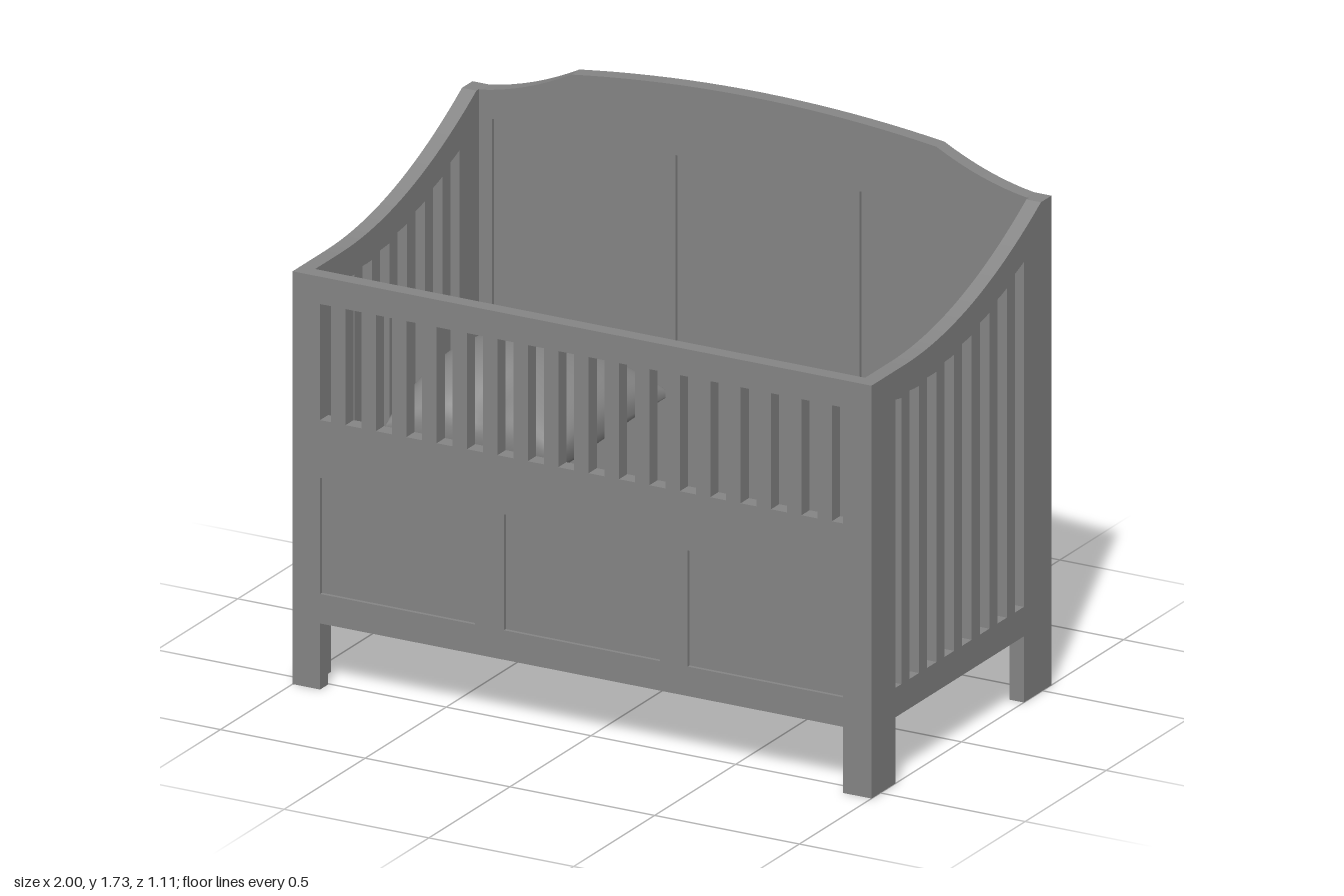
import * as THREE from 'three';
import { mergeVertices } from 'three/addons/utils/BufferGeometryUtils.js';

const material = new THREE.MeshStandardMaterial({ color: 0x868686 });
const T = 0.05;            // board thickness
const HX = 1, HZ = 0.555;  // half length and half depth of the cot
const RAIL = 0.213;        // underside of the bottom rails
const PANELS = [[-0.905, -0.37], [-0.27, 0.27], [0.365, 0.902]];

function add(parent, name, geometry, x = 0, y = 0, z = 0) {
  const mesh = new THREE.Mesh(geometry, material);
  mesh.name = name;
  mesh.position.set(x, y, z);
  parent.add(mesh);
  return mesh;
}

const toShape = (pts) => new THREE.Shape(pts.map(([x, y]) => new THREE.Vector2(x, y)));
const toHole = (pts) => new THREE.Path(pts.map(([x, y]) => new THREE.Vector2(x, y)));
const rect = (x0, x1, y0, y1) => [[x0, y0], [x0, y1], [x1, y1], [x1, y0]];
const board = (shape) => new THREE.ExtrudeGeometry(shape, { depth: T, bevelEnabled: false });

// Lower outline shared by the long boards: two feet and a raised rail
const feet = [[-HX, 0], [-0.905, 0], [-0.905, RAIL], [0.902, RAIL], [0.902, 0], [HX, 0]];

// Gaps left between evenly spaced slats
function gaps(start, end, first, pitch, count, width) {
  const list = [];
  let from = start;
  for (let i = 0; i < count; i++) {
    const c = first + i * pitch;
    list.push([from, c - width / 2]);
    from = c + width / 2;
  }
  list.push([from, end]);
  return list;
}

// Long board with three recessed panels
function panelBoard(name, topEdge, panelTop, slots, z) {
  const group = new THREE.Group();
  group.name = name;
  const shape = toShape([...feet, ...topEdge]);
  for (const [a, b] of PANELS) {
    shape.holes.push(toHole(rect(a, b, 0.308, panelTop)));
    add(group, 'recessedPanel', new THREE.BoxGeometry(b - a, panelTop - 0.308, T - 0.024),
      (a + b) / 2, (panelTop + 0.308) / 2, z + T / 2);
  }
  for (const [a, b] of slots) shape.holes.push(toHole(rect(a, b, 0.868, 1.242)));
  add(group, name + 'Frame', board(shape), 0, 0, z);
  return group;
}

// Crest of the back: flat ears, concave shoulders, shallow arch
function crest() {
  const half = [[HX, 1.577], [0.94, 1.577]];
  for (let i = 1; i <= 8; i++) {
    const t = i / 8;
    half.push([0.94 - 0.31 * t, 1.577 + 0.106 * (0.45 * t + 0.55 * t * t)]);
  }
  for (let i = 1; i < 10; i++) {
    const x = 0.63 * (1 - i / 10);
    half.push([x, 1.725 - 0.042 * (x / 0.63) ** 2]);
  }
  return [...half, [0, 1.725], ...half.slice().reverse().map(([x, y]) => [-x, y])];
}

// Side board drawn in (z, y), with a swept top rail and slats
function sideGeometry() {
  const sweep = (z) => 1.33 + 0.35 * Math.max(0, Math.min(0.84, 0.35 - z)) ** 2;
  const e = HZ - T;
  const pts = [[-e, 0], [-0.385, 0], [-0.385, RAIL], [0.408, RAIL], [0.408, 0], [e, 0], [e, 1.33]];
  for (let i = 0; i <= 20; i++) {
    const z = 0.35 - 0.84 * i / 20;
    pts.push([z, sweep(z)]);
  }
  pts.push([-e, 1.577]);
  const shape = toShape(pts);
  for (const [a, b] of gaps(-0.385, 0.408, -0.305, 0.1085, 7, T)) {
    const m = (a + b) / 2;
    shape.holes.push(toHole([[a, 0.308], [a, sweep(a) - 0.1], [m, sweep(m) - 0.097],
      [b, sweep(b) - 0.093], [b, 0.308]]));
  }
  const g = board(shape);
  g.rotateY(-Math.PI / 2); // shape x becomes z, depth becomes -x
  return g;
}

// Soft cushion: two square grids puffed up and down from a shared seam
function pillowGeometry() {
  const N = 28, pos = [], idx = [];
  for (const side of [1, -1]) {
    const base = pos.length / 3;
    for (let j = 0; j <= N; j++) for (let i = 0; i <= N; i++) {
      const u = Math.sin((i / N - 0.5) * Math.PI), v = Math.sin((j / N - 0.5) * Math.PI);
      const bulge = Math.max(0, (1 - u * u) * (1 - v * v));
      const dent = 0.08 * Math.exp(-((u / 0.25) ** 2) - ((v - 0.85) / 0.35) ** 2);
      const halfWidth = 0.32 - 0.026 * v;
      const x = -0.525 + 0.012 * v + halfWidth * u * (1 - 0.03 * (1 - v * v));
      const z = 0.33 * v * (1 - (v > 0 ? 0.1 : -0.02) * (1 - u * u));
      const up = (0.19 * (1 - 0.12 * u) - dent) * bulge ** 0.4;
      const down = (0.065 + 0.15 * z) * bulge ** 0.25;
      pos.push(x, 0.79 + (side > 0 ? up : -down), z);
    }
    for (let j = 0; j < N; j++) for (let i = 0; i < N; i++) {
      const a = base + j * (N + 1) + i, b = a + 1, c = a + N + 1, d = c + 1;
      if (side > 0) idx.push(a, c, b, b, c, d);
      else idx.push(a, b, c, b, d, c);
    }
  }
  let g = new THREE.BufferGeometry();
  g.setAttribute('position', new THREE.Float32BufferAttribute(pos, 3));
  g.setIndex(idx);
  g = mergeVertices(g, 1e-4);
  g.computeVertexNormals();
  return g;
}

export function createModel() {
  const model = new THREE.Group();
  model.name = 'cot';

  // Front and back boards
  const frontSlots = gaps(-0.905, 0.902, -0.842, 0.105, 17, T);
  model.add(panelBoard('front', [[HX, 1.33], [-HX, 1.33]], 0.682, frontSlots, HZ - T));
  model.add(panelBoard('back', crest(), 1.49, [], -HZ));

  // Slatted sides
  const side = sideGeometry();
  add(model, 'leftSide', side, HX);
  add(model, 'rightSide', side, -HX + T);

  // Thin mattress base on deep cross bars
  const w = 2 * (HX - T), d = 2 * (HZ - T);
  add(model, 'mattressBase', new THREE.BoxGeometry(w, 0.02, d), 0, 0.37, 0);
  for (const x of [-0.475, 0, 0.475]) {
    add(model, 'crossBar', new THREE.BoxGeometry(0.04, 0.145, d), x - 0.01, 0.2875, 0);
  }

  add(model, 'pillow', pillowGeometry());
  return model;
}
